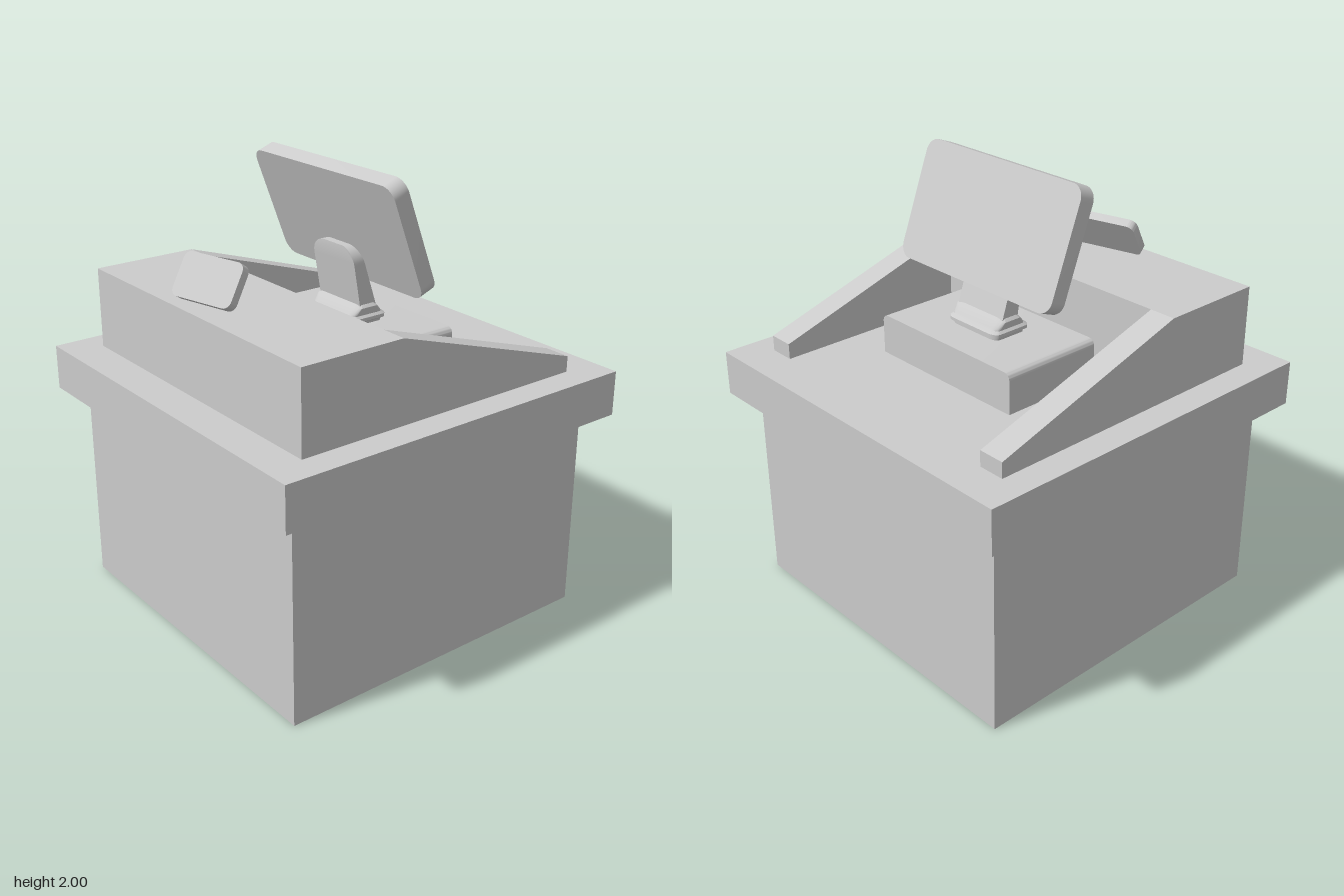
import * as THREE from 'three';
import { toCreasedNormals } from 'three/addons/utils/BufferGeometryUtils.js';

const grey = new THREE.MeshStandardMaterial({ color: 0xcccccc });
const greyOpen = new THREE.MeshStandardMaterial({ color: 0xcccccc, side: THREE.DoubleSide, flatShading: true });

// Rectangle outline centred on the origin, with separate bottom and top corner radii
function roundedRect(w, h, rBottom, rTop = rBottom) {
  const s = new THREE.Shape();
  const x = w / 2, y = h / 2;
  const corner = (cx, cy, r, start) => {
    if (r > 0) s.absarc(cx, cy, r, start, start + Math.PI / 2, false);
    else s.lineTo(cx, cy);
  };
  s.moveTo(-x + rBottom, -y);
  corner(x - rBottom, -y + rBottom, rBottom, -Math.PI / 2);
  corner(x - rTop, y - rTop, rTop, 0);
  corner(-x + rTop, y - rTop, rTop, Math.PI / 2);
  corner(-x + rBottom, -y + rBottom, rBottom, Math.PI);
  return s;
}

function extrude(shape, depth, curveSegments = 6) {
  const g = new THREE.ExtrudeGeometry(shape, { depth, bevelEnabled: false, curveSegments });
  return g.translate(0, 0, -depth / 2);
}

// Extrusion turned so that its depth runs along x
const extrudeX = (shape, depth) => toCreasedNormals(extrude(shape, depth).rotateY(Math.PI / 2), 0.6);

// Loft through rounded rectangles given as [y, half x, half z]
function loft(rings) {
  const pos = [], index = [];
  const outline = roundedRect(2, 2, 0.3).getPoints(4);
  const n = outline.length;
  for (const [y, hx, hz] of rings) for (const p of outline) pos.push(p.x * hx, y, -p.y * hz);
  for (let r = 0; r < rings.length - 1; r++) {
    for (let i = 0; i < n; i++) {
      const a = r * n + i, b = r * n + (i + 1) % n;
      index.push(a, b, b + n, a, b + n, a + n);
    }
  }
  // Flat top cap
  const top = (rings.length - 1) * n;
  for (let i = 1; i < n - 1; i++) index.push(top, top + i, top + i + 1);
  const g = new THREE.BufferGeometry();
  g.setAttribute('position', new THREE.Float32BufferAttribute(pos, 3));
  g.setIndex(index);
  return toCreasedNormals(g, 0.6);
}

export function createModel() {
  const model = new THREE.Group();
  model.name = 'checkoutCounter';
  const add = (name, geometry, x = 0, y = 0, z = 0, material = grey) => {
    const mesh = new THREE.Mesh(geometry, material);
    mesh.name = name;
    mesh.position.set(x, y, z);
    model.add(mesh);
    return mesh;
  };

  // Hollow base, open at the bottom
  const base = new THREE.CylinderGeometry(0.77 * Math.SQRT2, 0.77 * Math.SQRT2, 0.92, 4, 1, true).rotateY(Math.PI / 4);
  add('base', base, 0, 0.46, 0, greyOpen);

  // Worktop: a rim around the hollow, closed by a slab
  const rim = roundedRect(1.735, 1.735, 0);
  rim.holes.push(roundedRect(1.54, 1.54, 0));
  add('worktopRim', extrude(rim, 0.12).rotateX(-Math.PI / 2), 0, 0.98, 0);
  add('worktop', new THREE.BoxGeometry(1.735, 0.08, 1.735), 0, 1.08, 0);

  // U-shaped console: a back block between two sloping arms
  add('consoleBack', new THREE.BoxGeometry(0.48, 0.36, 1.24), -0.46, 1.3, 0);
  const arm = new THREE.Shape([
    [-0.7, 1.12], [0.7, 1.12], [0.7, 1.19], [-0.22, 1.48], [-0.7, 1.48],
  ].map(([x, y]) => new THREE.Vector2(x, y)));
  for (const side of [1, -1]) {
    add(side > 0 ? 'frontArm' : 'rearArm', extrude(arm, 0.12), 0, 0, side * 0.68);
  }

  // Cash drawer with rounded top edges
  add('cashDrawer', extrudeX(roundedRect(0.8, 0.18, 0, 0.03), 0.48), 0.11, 1.21, 0);

  // Moulded foot of the screen stand
  add('standFoot', loft([
    [1.3, 0.085, 0.14], [1.31, 0.085, 0.142], [1.318, 0.1, 0.154], [1.332, 0.1, 0.154],
    [1.342, 0.085, 0.143], [1.35, 0.08, 0.145], [1.375, 0.055, 0.15], [1.387, 0.042, 0.137],
  ]), 0.1, 0, 0);

  // Stand neck: plate with a rounded top, leaned and tapered by height
  const neckShape = roundedRect(0.274, 0.26, 0, 0.075).getPoints(5);
  const neck = extrude(new THREE.Shape(neckShape), 1).rotateY(Math.PI / 2).translate(0, 1.51, 0);
  const p = neck.attributes.position;
  for (let i = 0; i < p.count; i++) {
    const t = (p.getY(i) - 1.38) / 0.26;
    const back = 0.06 - 0.04 * Math.min(1, t / 0.88);
    const front = 0.145 - 0.085 * t;
    p.setX(i, p.getX(i) < 0 ? back : front);
  }
  add('standNeck', toCreasedNormals(neck, 0.6));

  // Tilted screen facing the operator
  const screen = add('screen', extrudeX(roundedRect(0.92, 0.524, 0.06), 0.075), 0.059, 1.742, 0.015);
  screen.rotation.z = 0.361;

  // Small card reader on the back ledge, tilted and turned
  const reader = add('cardReader', extrudeX(roundedRect(0.32, 0.195, 0.035), 0.04), -0.562, 1.57, -0.052);
  reader.rotation.set(0, 0.24, -0.576, 'YXZ');

  return model;
}
